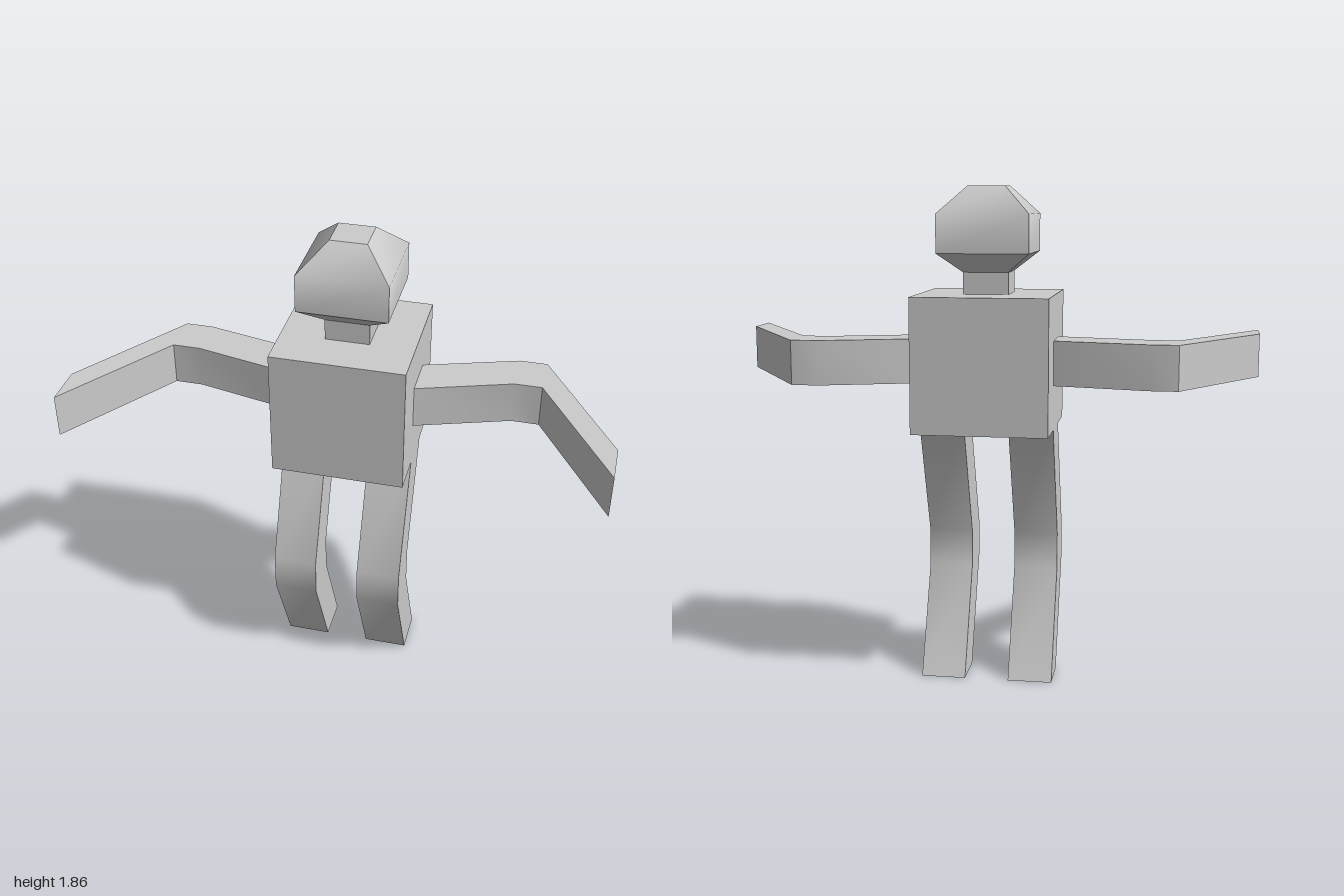
import * as THREE from 'three';
import { mergeGeometries, toCreasedNormals } from 'three/addons/utils/BufferGeometryUtils.js';

const material = new THREE.MeshStandardMaterial({ color: 0xcccccc });

function faces(points) {
  const g = new THREE.BufferGeometry();
  g.setAttribute('position', new THREE.Float32BufferAttribute(points.flat(), 3));
  return g;
}

// Skin four-cornered rings (counter-clockwise seen from the far end) and close both ends.
// Side bends softer than the crease angle are smooth, the ends stay sharp.
function loft(rings, creaseDegrees) {
  const sides = [];
  for (let i = 0; i < rings.length - 1; i++) {
    for (let j = 0; j < 4; j++) {
      const k = (j + 1) % 4;
      const a = rings[i][j], b = rings[i][k], c = rings[i + 1][k], d = rings[i + 1][j];
      sides.push(a, b, c, a, c, d);
    }
  }
  const [a, b, c, d] = rings[0];
  const [e, f, g, h] = rings[rings.length - 1];
  const caps = faces([a, c, b, a, d, c, e, f, g, e, g, h]);
  caps.computeVertexNormals();
  return mergeGeometries([toCreasedNormals(faces(sides), THREE.MathUtils.degToRad(creaseDegrees)), caps]);
}

// Horizontal ring at height y
const level = (y, x0, x1, z0, z1) => [[x1, y, z1], [x1, y, z0], [x0, y, z0], [x0, y, z1]];
// Upright ring at position x along an arm
const slice = (x, z0, z1, y0 = 1.14, y1 = 1.305) => [[x, y0, z0], [x, y1, z0], [x, y1, z1], [x, y0, z1]];
// Square ring around the head axis
const square = (y, r) => level(y, -r, r, -0.1 - r, -0.1 + r);

export function createModel() {
  const model = new THREE.Group();
  const add = (name, geometry) => {
    const mesh = new THREE.Mesh(geometry, material);
    mesh.name = name;
    model.add(mesh);
    return mesh;
  };

  // Torso and neck
  add('torso', new THREE.BoxGeometry(0.5, 0.495, 0.5)).position.set(0, 1.2225, -0.1025);
  add('neck', new THREE.BoxGeometry(0.166, 0.09, 0.166)).position.set(0, 1.51, -0.1);

  // Head: flared jaw below a skull with softly rounded brow
  add('jaw', loft([square(1.55, 0.083), square(1.62, 0.168)], 10));
  add('skull', loft([square(1.62, 0.168), square(1.76, 0.168), square(1.86, 0.068)], 50));

  // Legs, bent forward at the knee: [height, back z, front z] from foot to hip
  const legProfile = [[0, -0.18, -0.015], [0.4, 0, 0.165], [0.54, 0, 0.165], [0.98, -0.18, -0.015]];
  for (const [name, x0, x1] of [['leftLeg', 0.083, 0.25], ['rightLeg', -0.25, -0.083]]) {
    add(name, loft(legProfile.map(([y, z0, z1]) => level(y, x0, x1, z0, z1)), 30));
  }

  // Arms, swept back to the elbow and reaching forward: the left elbow sits further back
  add('leftArm', loft([
    slice(0.25, -0.185, -0.02), slice(0.6, -0.3, -0.138),
    slice(0.703, -0.3, -0.138), slice(1, 0.185, 0.345),
  ], 30));
  add('rightArm', loft([
    slice(-1, 0.185, 0.345), slice(-0.703, -0.26, -0.097),
    slice(-0.6, -0.26, -0.097), slice(-0.25, -0.185, -0.02),
  ], 30));

  return model;
}
